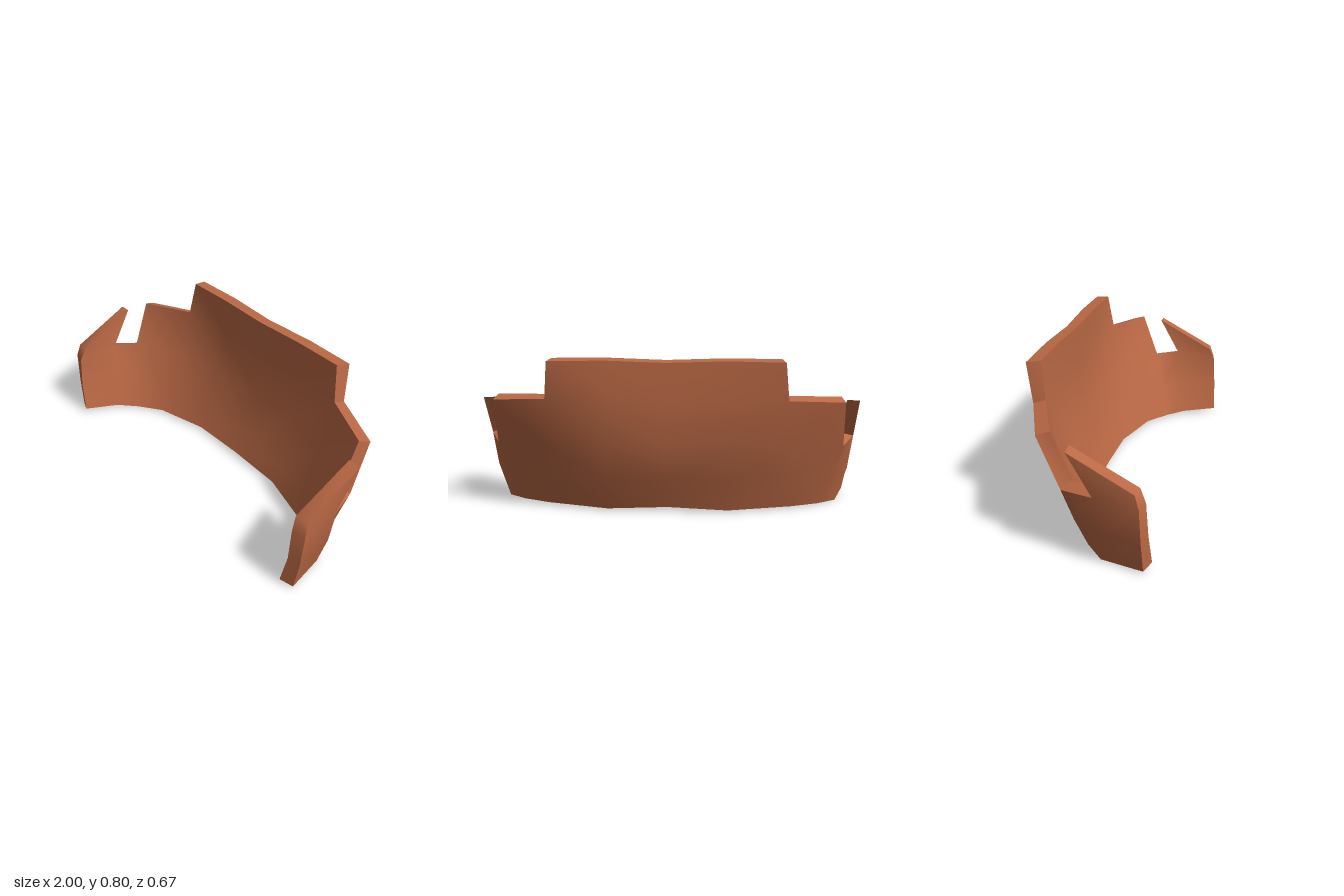
import * as THREE from 'three';
import { toCreasedNormals } from 'three/addons/utils/BufferGeometryUtils.js';

// Half of the curved shell: columns run from the centre (0) to the front end (5),
// rows run upward: bottom, low, mid, upper, top.
const outerHalf = [
  [[0, 0.025, -0.18], [0, 0.18, -0.243], [0, 0.36, -0.31], [0, 0.6, -0.33], [0, 0.785, -0.33]],
  [[0.31, 0.012, -0.18], [0.31, 0.18, -0.243], [0.31, 0.36, -0.31], [0.3, 0.6, -0.335], [0.3, 0.795, -0.335]],
  [[0.64, 0.012, -0.08], [0.635, 0.18, -0.155], [0.62, 0.36, -0.235], [0.6, 0.6, -0.3], [0.58, 0.79, -0.335]],
  [[0.79, 0.006, 0.01], [0.86, 0.17, -0.03], [0.9, 0.335, -0.075], [0.89, 0.578, -0.185]],
  [[0.89, 0.002, 0.1], [0.95, 0.18, 0.1], [0.975, 0.36, 0.09], [0.985, 0.565, -0.022]],
  [[0.955, 0.015, 0.31], [0.985, 0.17, 0.305], [1.0, 0.34, 0.3], [0.99, 0.405, 0.28]],
];
const innerHalf = [
  [[0, 0.025, -0.11], [0, 0.12, -0.15], [0, 0.36, -0.235], [0, 0.6, -0.265], [0, 0.793, -0.265]],
  [[0.32, 0.015, -0.11], [0.32, 0.12, -0.15], [0.31, 0.36, -0.235], [0.3, 0.6, -0.265], [0.3, 0.803, -0.265]],
  [[0.61, 0.015, -0.03], [0.6, 0.12, -0.075], [0.595, 0.36, -0.175], [0.595, 0.617, -0.24], [0.565, 0.8, -0.265]],
  [[0.74, 0.01, 0.06], [0.79, 0.15, 0.025], [0.865, 0.368, -0.035], [0.875, 0.6, -0.122]],
  [[0.83, 0.01, 0.15], [0.87, 0.18, 0.13], [0.91, 0.375, 0.09], [0.92, 0.568, -0.022]],
  [[0.89, 0.025, 0.335], [0.925, 0.18, 0.325], [0.93, 0.34, 0.315], [0.92, 0.405, 0.287]],
];
const LAST = 5;

// Point on either side of the shell, mirrored across the centre
function point(half, [c, r]) {
  const [x, y, z] = half[Math.abs(c)][r];
  return c < 0 ? [-x, y, z] : [x, y, z];
}

// Which cells are filled: a notch before each arm, and a raised centre panel
function filled(c, r) {
  const side = c < 0 ? -c - 1 : c;
  if (r === 2) return side !== 3;
  if (r === 3) return side < 2;
  return true;
}

function shellGeometry() {
  const positions = [];
  const quad = (a, b, c, d) => positions.push(...a, ...b, ...c, ...a, ...c, ...d);
  const edges = new Map();

  // Front and back skins
  for (let c = -LAST; c < LAST; c++) {
    for (let r = 0; r < 4; r++) {
      if (!filled(c, r)) continue;
      let ring = [[c, r], [c + 1, r], [c + 1, r + 1], [c, r + 1]];
      // Mirror the quad diagonal on the right half
      if (c < 0) ring = [ring[1], ring[2], ring[3], ring[0]];
      const inner = ring.map((k) => point(innerHalf, k));
      const outer = ring.map((k) => point(outerHalf, k));
      quad(...inner);
      quad(outer[0], outer[3], outer[2], outer[1]);
      ring.forEach((k, i) => {
        const n = ring[(i + 1) % 4];
        const reverse = `${n}|${k}`;
        if (edges.has(reverse)) edges.delete(reverse);
        else edges.set(`${k}|${n}`, [k, n]);
      });
    }
  }

  // Rim joining both skins along every open edge
  for (const [k, n] of edges.values()) {
    quad(point(innerHalf, n), point(innerHalf, k), point(outerHalf, k), point(outerHalf, n));
  }

  const geometry = new THREE.BufferGeometry();
  geometry.setAttribute('position', new THREE.Float32BufferAttribute(positions, 3));
  return toCreasedNormals(geometry, 0.85);
}

export function createModel() {
  const model = new THREE.Group();
  model.name = 'curvedGuard';
  const terracotta = new THREE.MeshStandardMaterial({ color: 0xbb6945 });
  terracotta.name = 'terracotta';
  const shell = new THREE.Mesh(shellGeometry(), terracotta);
  shell.name = 'shell';
  model.add(shell);
  return model;
}
